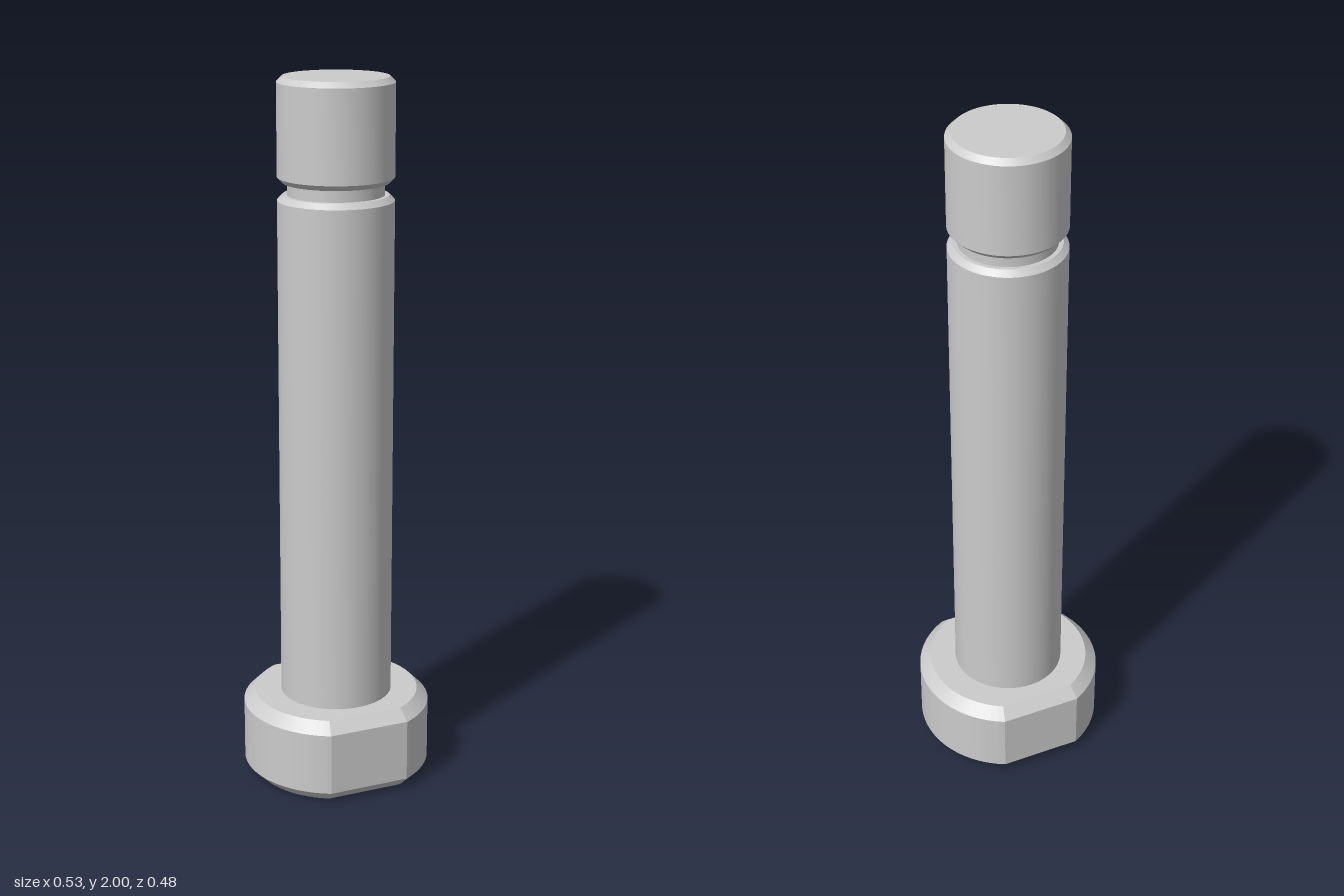
import * as THREE from 'three';
import { toCreasedNormals } from 'three/addons/utils/BufferGeometryUtils.js';

const material = new THREE.MeshStandardMaterial({ color: 0xcccccc });

function addPart(group, name, geometry) {
  const mesh = new THREE.Mesh(toCreasedNormals(geometry, 0.3), material);
  mesh.name = name;
  group.add(mesh);
}

// Round head with two flats (front and back), chamfered top and bottom
function headGeometry() {
  const radius = 0.267, flat = 0.24, height = 0.242, chamfer = 0.032;
  const a = Math.asin(flat / radius);
  const outline = new THREE.Shape();
  outline.absarc(0, 0, radius, -a, a, false);
  outline.absarc(0, 0, radius, Math.PI - a, Math.PI + a, false);
  outline.closePath();
  const geometry = new THREE.ExtrudeGeometry(outline, {
    depth: height - 2 * chamfer,
    curveSegments: 32,
    bevelEnabled: true,
    bevelSegments: 1,
    bevelSize: chamfer,
    bevelThickness: chamfer,
    bevelOffset: -chamfer,
  });
  geometry.rotateX(-Math.PI / 2);
  geometry.translate(0, chamfer, 0);
  return geometry;
}

// Turned pin with a chamfered retaining groove near the top
function shaftGeometry() {
  const r = 0.159, c = 0.015, neck = 0.132;
  const profile = [
    [r, 0.24],
    [r, 1.67], [r - c, 1.685],
    [neck, 1.685], [neck, 1.718],
    [r - c, 1.718], [r, 1.733],
    [r, 2 - c], [r - c, 2],
    [0, 2],
  ].map(([x, y]) => new THREE.Vector2(x, y));
  return new THREE.LatheGeometry(profile, 72);
}

export function createModel() {
  const group = new THREE.Group();
  group.name = 'headedPin';
  addPart(group, 'head', headGeometry());
  addPart(group, 'shaft', shaftGeometry());
  return group;
}
